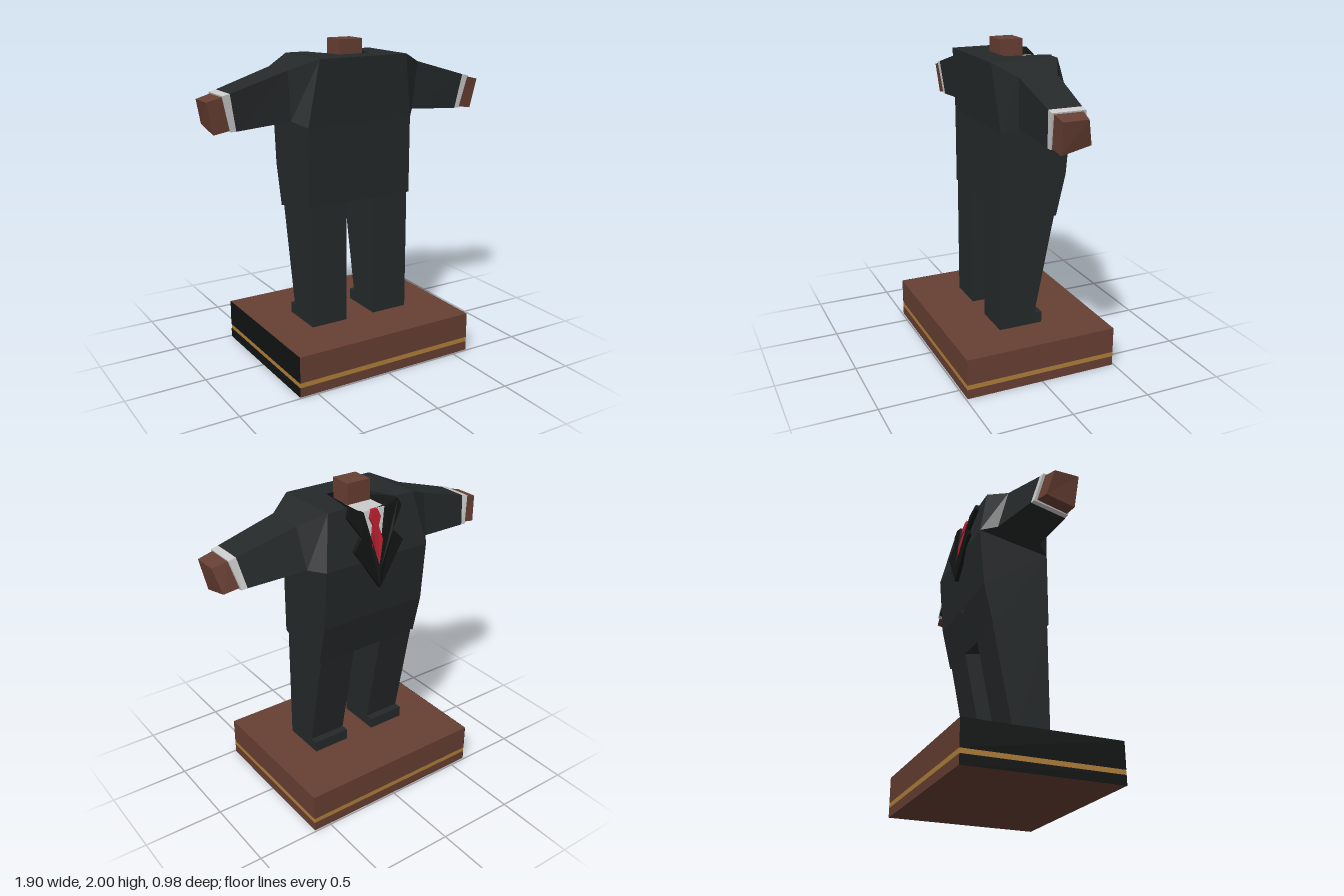
import * as THREE from 'three';

const mat = (color) => new THREE.MeshStandardMaterial({ color, flatShading: true, side: THREE.DoubleSide });

export function createModel() {
  const model = new THREE.Group();
  const suit = mat(0x25292a), dark = mat(0x121414), brown = mat(0x673f33);
  const gold = mat(0xb08038), white = mat(0xcccccc), red = mat(0xb3202e);

  const add = (name, geometry, material) => {
    const mesh = new THREE.Mesh(geometry, material);
    mesh.name = name;
    model.add(mesh);
    return mesh;
  };
  // Box given by its limits on each axis
  const box = (name, [x0, x1], [y0, y1], [z0, z1], material) =>
    add(name, new THREE.BoxGeometry(x1 - x0, y1 - y0, z1 - z0)
      .translate((x0 + x1) / 2, (y0 + y1) / 2, (z0 + z1) / 2), material);
  // Flat faces, each a fan of corners
  const surface = (name, faces, material) => {
    const pos = [];
    for (const f of faces)
      for (let i = 1; i < f.length - 1; i++) pos.push(...f[0], ...f[i], ...f[i + 1]);
    const g = new THREE.BufferGeometry();
    g.setAttribute('position', new THREE.Float32BufferAttribute(pos, 3));
    g.computeVertexNormals();
    return add(name, g, material);
  };
  const mirror = (faces) => faces.map((f) => f.map(([x, y, z]) => [-x, y, z]).reverse());
  const both = (faces) => [...faces, ...mirror(faces)];
  // Four-sided sleeve between two rings, closed at the outer end
  const loft = (a, b) => [
    ...a.map((p, i) => [p, b[i], b[(i + 1) % 4], a[(i + 1) % 4]]),
    [...b].reverse(),
  ];
  // Side profile of [z, y] points extruded across x
  const prism = (name, points, x0, x1, material) => {
    const shape = new THREE.Shape(points.map((p) => new THREE.Vector2(...p)));
    const g = new THREE.ExtrudeGeometry(shape, { depth: x1 - x0, bevelEnabled: false });
    return add(name, g.rotateY(-Math.PI / 2).translate(x1, 0, 0), material);
  };

  // Plinth with a gold band and one dark side
  const px = [-0.61, 0.61], pz = [-0.49, 0.49];
  box('plinthBottom', px, [0, 0.06], pz, brown);
  box('plinthBand', px, [0.06, 0.09], pz, gold);
  box('plinthTop', px, [0.09, 0.255], pz, brown);
  for (const y of [[0, 0.06], [0.09, 0.255]])
    box('plinthSidePanel', [-0.612, -0.61], y, pz, dark);

  // Trousers and shoes
  const leg = [[0.165, 0.255], [-0.055, 0.255], [-0.07, 0.325], [-0.195, 0.96], [0.163, 1.03]];
  for (const [name, x0, x1] of [['left', 0.1, 0.345], ['right', -0.345, -0.1]]) {
    prism(name + 'Leg', leg, x0, x1, suit);
    box(name + 'Shoe', [x0, x1], [0.255, 0.325], [-0.12, 0.1], suit);
  }
  prism('hips', [[0.163, 1.03], [-0.195, 0.96], [-0.25, 1.21], [0.16, 1.21]], -0.345, 0.345, suit);

  // Jacket body, one half mirrored
  const top = 1.91;
  const frontZ = (y) => -0.22 - 0.07 * Math.min(1, (top - y) / 0.32);
  const F = (x, y) => [x, y, frontZ(y)];
  const waist = [0.36, 1.22, -0.26], chest = F(0.36, 1.59), armpit = [0.36, 1.51, 0.165];
  const hemFront = [0.36, 0.96, -0.2], hemBack = [0.36, 1.03, 0.165];
  surface('jacketBody', both([
    [[0, 1.03, 0.165], hemBack, armpit, [0, 1.51, 0.165]],
    [[0, 1.51, 0.165], armpit, [0.3, top, 0.2], [0, top, 0.2]],
    [[0, 1.22, -0.26], waist, hemFront],
    [[0, 1.22, -0.26], F(0, 1.59), chest, waist],
    [chest, F(0, 1.59), F(0, 1.87), F(0.09, 1.87), F(0.17, top), F(0.3, top)],
    [hemBack, hemFront, waist, chest, armpit],
    [[0.3, top, 0.2], [0.3, top, -0.22], [0.17, top, -0.22], [0.13, top, 0.04], [0, top, 0.04], [0, top, 0.2]],
  ]), suit);

  // Inner collar around the neck, and shirt top
  surface('innerCollar', both([
    [[0.13, top, 0.04], [0.17, top, -0.22], F(0.085, 1.87), [0.08, 1.87, 0.04]],
    [[0, top, 0.04], [0.13, top, 0.04], [0.08, 1.87, 0.04], [0, 1.87, 0.04]],
  ]), dark);
  surface('shirtTop', both([
    [[0, 1.872, 0.04], [0.085, 1.872, 0.04], [0.085, 1.872, -0.235], [0, 1.872, -0.235]],
  ]), white);
  box('neck', [-0.08, 0.08], [1.86, 2], [-0.1, 0.045], brown);

  // Flat pieces that follow the slope of the chest
  const chestPiece = (name, points, thickness, material) => {
    const shape = new THREE.Shape(points.map((p) => new THREE.Vector2(...p)));
    const g = new THREE.ExtrudeGeometry(shape, { depth: thickness, bevelEnabled: false });
    const p = g.attributes.position;
    for (let i = 0; i < p.count; i++)
      p.setZ(i, p.getZ(i) - thickness + frontZ(p.getY(i)));
    g.computeVertexNormals();
    return add(name, g, material);
  };
  chestPiece('shirtFront', [[-0.1, 1.872], [0, 1.5], [0.1, 1.872]], 0.008, white);
  chestPiece('tie', [[0, 1.5], [0.042, 1.68], [0.018, 1.79], [-0.018, 1.79], [-0.042, 1.68]], 0.015, red);
  chestPiece('tieKnot', [[0.018, 1.785], [0.038, 1.83], [0.02, 1.875], [-0.02, 1.875], [-0.038, 1.83], [-0.018, 1.785]], 0.022, red);
  const lapel = [[0.08, 1.875], [0, 1.53], [0, 1.41], [0.175, 1.67], [0.11, 1.74], [0.19, 1.86], [0.17, 1.908]];
  chestPiece('leftLapel', lapel, 0.025, dark);
  chestPiece('rightLapel', lapel.map(([x, y]) => [-x, y]), 0.025, dark);

  // Arms: rings run top back, top front, bottom front, bottom back
  const shoulder = [[0.3, top, 0.2], [0.3, top, -0.22], chest, armpit];
  const sleeve = [[0.455, 1.845, 0.1], [0.455, 1.845, -0.14], [0.43, 1.595, -0.2], [0.43, 1.545, 0.085]];
  const cuffIn = [[0.815, 1.74, 0.1], [0.815, 1.74, -0.1], [0.78, 1.565, -0.145], [0.775, 1.52, 0.08]];
  const cuffOut = [[0.86, 1.73, 0.1], [0.86, 1.73, -0.1], [0.815, 1.56, -0.14], [0.81, 1.52, 0.08]];
  const wrist = [[0.858, 1.722, 0.088], [0.858, 1.722, -0.085], [0.813, 1.568, -0.122], [0.808, 1.527, 0.072]];
  const fist = [[0.95, 1.7, 0.083], [0.95, 1.7, -0.07], [0.91, 1.55, -0.11], [0.91, 1.51, 0.07]];
  const armParts = [
    ['Shoulder', loft(shoulder, sleeve), suit],
    ['Sleeve', loft(sleeve, cuffIn), suit],
    ['Cuff', loft(cuffIn, cuffOut), white],
    ['Hand', loft(wrist, fist), brown],
  ];
  for (const [name, faces, material] of armParts) {
    surface('left' + name, faces, material);
    surface('right' + name, mirror(faces), material);
  }
  return model;
}
